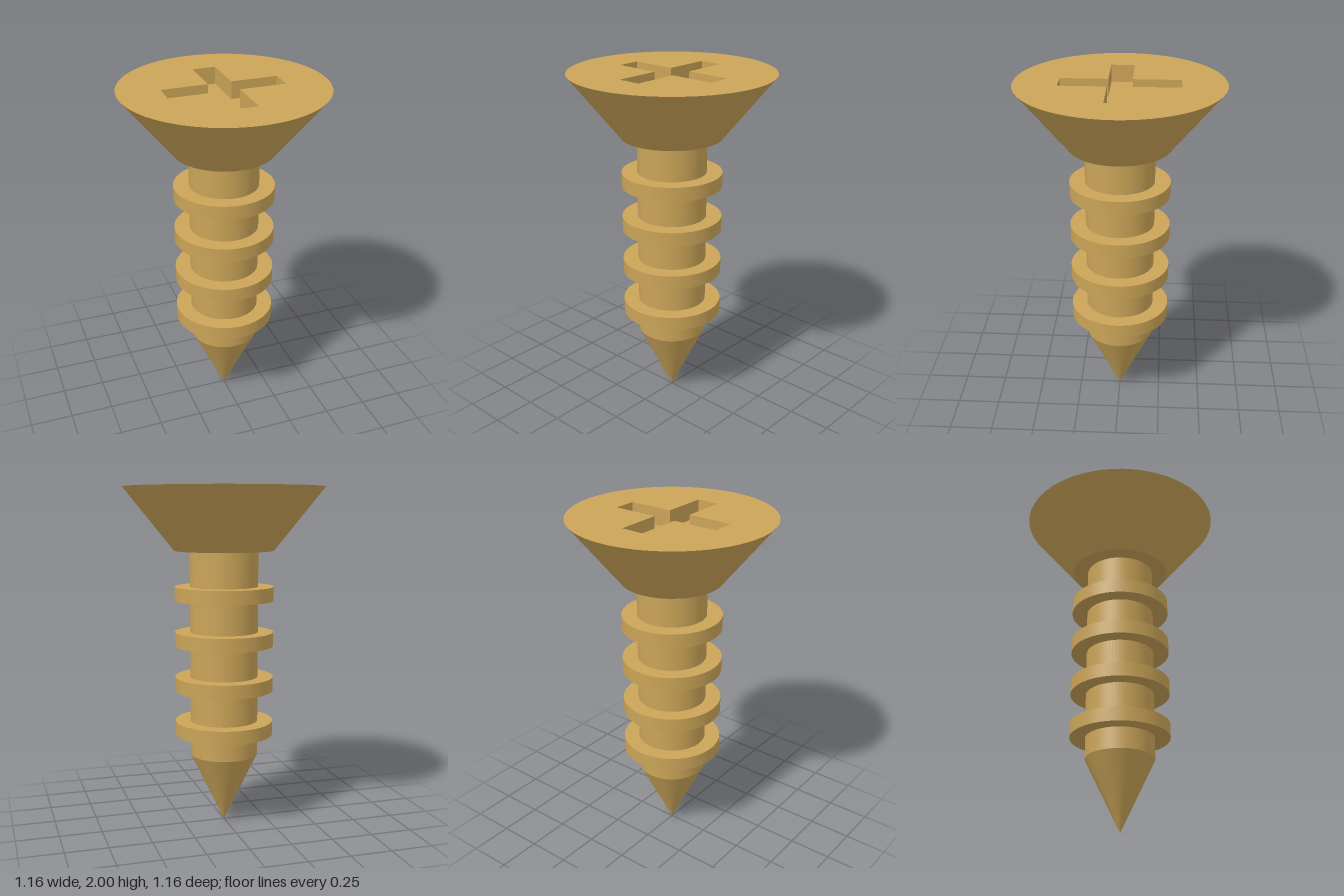
import * as THREE from 'three';

const SIDES = 64;

export function createModel() {
  const brass = new THREE.MeshStandardMaterial({ color: 0xcaa458 });
  brass.name = 'brass';
  const screw = new THREE.Group();
  screw.name = 'screw';

  const add = (name, geometry, y, parent = screw) => {
    const mesh = new THREE.Mesh(geometry, brass);
    mesh.name = name;
    mesh.position.y = y;
    parent.add(mesh);
  };

  // Tip pointing down and straight shank
  add('tip', new THREE.ConeGeometry(0.2, 0.42, SIDES, 1, true).rotateX(Math.PI), 0.21);
  add('shank', new THREE.CylinderGeometry(0.2, 0.2, 1.216, SIDES, 1, true), 1.028);

  // Evenly spaced thread rings
  for (let i = 0; i < 4; i++) {
    add(`threadRing${i + 1}`, new THREE.CylinderGeometry(0.29, 0.29, 0.082, SIDES), 0.586 + i * 0.267);
  }

  // Countersunk head: tapered side, underside and top face with a cross cut out
  const head = new THREE.Group();
  head.name = 'head';
  screw.add(head);
  add('headSide', new THREE.CylinderGeometry(0.582, 0.29, 0.364, SIDES, 1, true), 1.818, head);
  add('headUnderside', new THREE.RingGeometry(0.2, 0.29, SIDES).rotateX(Math.PI / 2), 1.636, head);

  const L = 0.334, w = 0.067, depth = 0.1;
  const arm = [[L, -w], [L, w], [w, w]];
  const cross = [];
  for (let q = 0; q < 4; q++) {
    for (const [x, y] of arm) {
      cross.push(new THREE.Vector2(x, y).rotateAround(new THREE.Vector2(), q * Math.PI / 2));
    }
  }
  const rim = [];
  for (let i = 0; i < SIDES; i++) {
    const a = (i / SIDES) * Math.PI * 2;
    rim.push(new THREE.Vector2(0.582 * Math.cos(a), 0.582 * Math.sin(a)));
  }
  const face = new THREE.Shape(rim);
  face.holes.push(new THREE.Path(cross));
  add('headTop', new THREE.ShapeGeometry(face).rotateX(-Math.PI / 2), 2, head);

  // Cross recess: floor and inward-facing walls
  add('recessFloor', new THREE.ShapeGeometry(new THREE.Shape(cross)).rotateX(-Math.PI / 2), 2 - depth, head);
  const walls = [];
  cross.forEach((a, i) => {
    const b = cross[(i + 1) % cross.length];
    walls.push(a.x, a.y, 0, b.x, b.y, 0, b.x, b.y, -depth);
    walls.push(a.x, a.y, 0, b.x, b.y, -depth, a.x, a.y, -depth);
  });
  const wallGeometry = new THREE.BufferGeometry();
  wallGeometry.setAttribute('position', new THREE.Float32BufferAttribute(walls, 3));
  wallGeometry.computeVertexNormals();
  add('recessWalls', wallGeometry.rotateX(-Math.PI / 2), 2, head);

  return screw;
}
